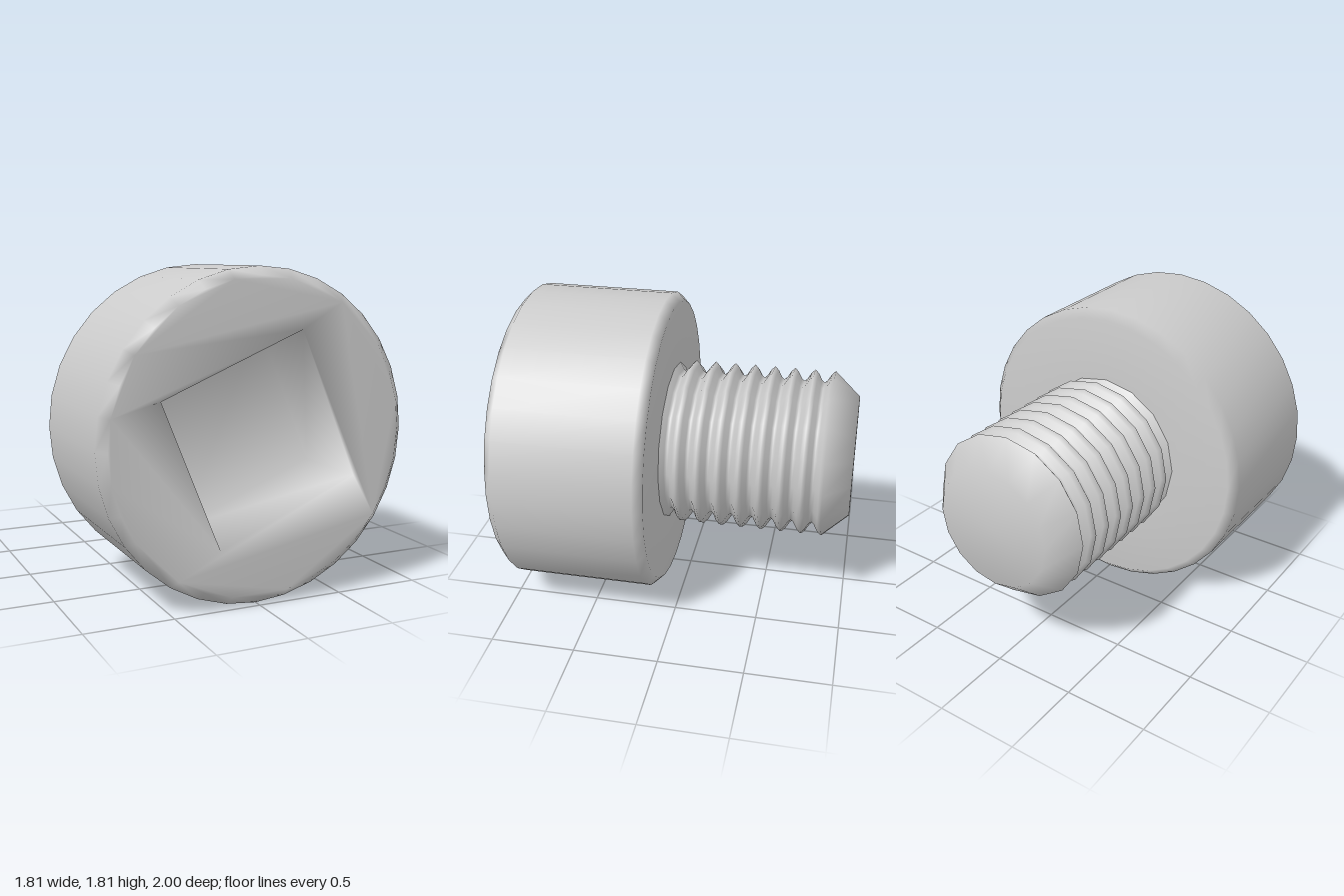
import * as THREE from 'three';
import { mergeGeometries, mergeVertices } from 'three/addons/utils/BufferGeometryUtils.js';

const HEAD_R = 0.905, CHAMFER = 0.05, BACK = 0.1, FRONT = 1;
const SOCKET_R = 0.62, SOCKET_DEPTH = 0.5, SOCKET_TURN = THREE.MathUtils.degToRad(67.5);
const CREST = 0.5, ROOT = 0.427, PITCH = 0.1207, THREADS = 8;

// regular polygon outline, counter-clockwise
function ngon(radius, sides, turn = 0) {
  return Array.from({ length: sides }, (_, i) => {
    const a = turn + (i / sides) * Math.PI * 2;
    return new THREE.Vector2(radius * Math.cos(a), radius * Math.sin(a));
  });
}

// lathe turned around z: pairs of [radius, z], from back to front
function turned(profile, sides) {
  return new THREE.LatheGeometry(profile.map(([r, z]) => new THREE.Vector2(r, z)), sides).rotateX(Math.PI / 2);
}

function headGeometry() {
  const rim = HEAD_R - CHAMFER;
  const square = ngon(SOCKET_R, 4, SOCKET_TURN);

  // outer shell with both chamfers
  const shell = turned([[0.4, BACK], [rim, BACK], [HEAD_R, BACK + CHAMFER],
    [HEAD_R, FRONT - CHAMFER], [rim, FRONT]], 32);

  // front face with the square opening
  const faceShape = new THREE.Shape(ngon(rim, 32));
  faceShape.holes.push(new THREE.Path(square));
  const face = new THREE.ShapeGeometry(faceShape).translate(0, 0, FRONT);

  // socket floor
  const bottom = FRONT - SOCKET_DEPTH;
  const floor = new THREE.ShapeGeometry(new THREE.Shape(square)).translate(0, 0, bottom);

  // socket walls, facing inward
  const pos = [], index = [];
  square.forEach((p, i) => {
    const j = (i + 1) % 4;
    pos.push(p.x, p.y, FRONT, p.x, p.y, bottom);
    index.push(2 * i, 2 * j, 2 * i + 1, 2 * j, 2 * j + 1, 2 * i + 1);
  });
  const walls = new THREE.BufferGeometry();
  walls.setAttribute('position', new THREE.Float32BufferAttribute(pos, 3));
  walls.setIndex(index);

  // weld everything so the shading runs softly over the edges
  const parts = [shell, face, floor, walls];
  for (const g of parts) {
    g.deleteAttribute('normal');
    g.deleteAttribute('uv');
  }
  const head = mergeVertices(mergeGeometries(parts), 1e-4);
  head.computeVertexNormals();
  return head;
}

function shankGeometry() {
  // tapered tip, then one crest and one rounded root per thread
  const profile = [[0, -1], [0.36, -1]];
  for (let i = THREADS - 1; i >= 0; i--) {
    const z = -i * PITCH;
    profile.push([CREST, z], [0.478, z + 0.022], [ROOT + 0.012, z + 0.045],
      [ROOT, z + PITCH / 2], [ROOT + 0.012, z + PITCH - 0.045]);
    if (i > 0) profile.push([0.478, z + PITCH - 0.022]);
  }
  profile.push([0.48, BACK], [0.48, BACK + 0.01]);
  return turned(profile, 16);
}

export function createModel() {
  const group = new THREE.Group();
  const material = new THREE.MeshStandardMaterial({ color: 0xcccccc });
  const add = (name, geometry) => {
    const mesh = new THREE.Mesh(geometry, material);
    mesh.name = name;
    mesh.position.y = HEAD_R;
    group.add(mesh);
  };
  add('socketHead', headGeometry());
  add('threadedShank', shankGeometry());
  return group;
}
